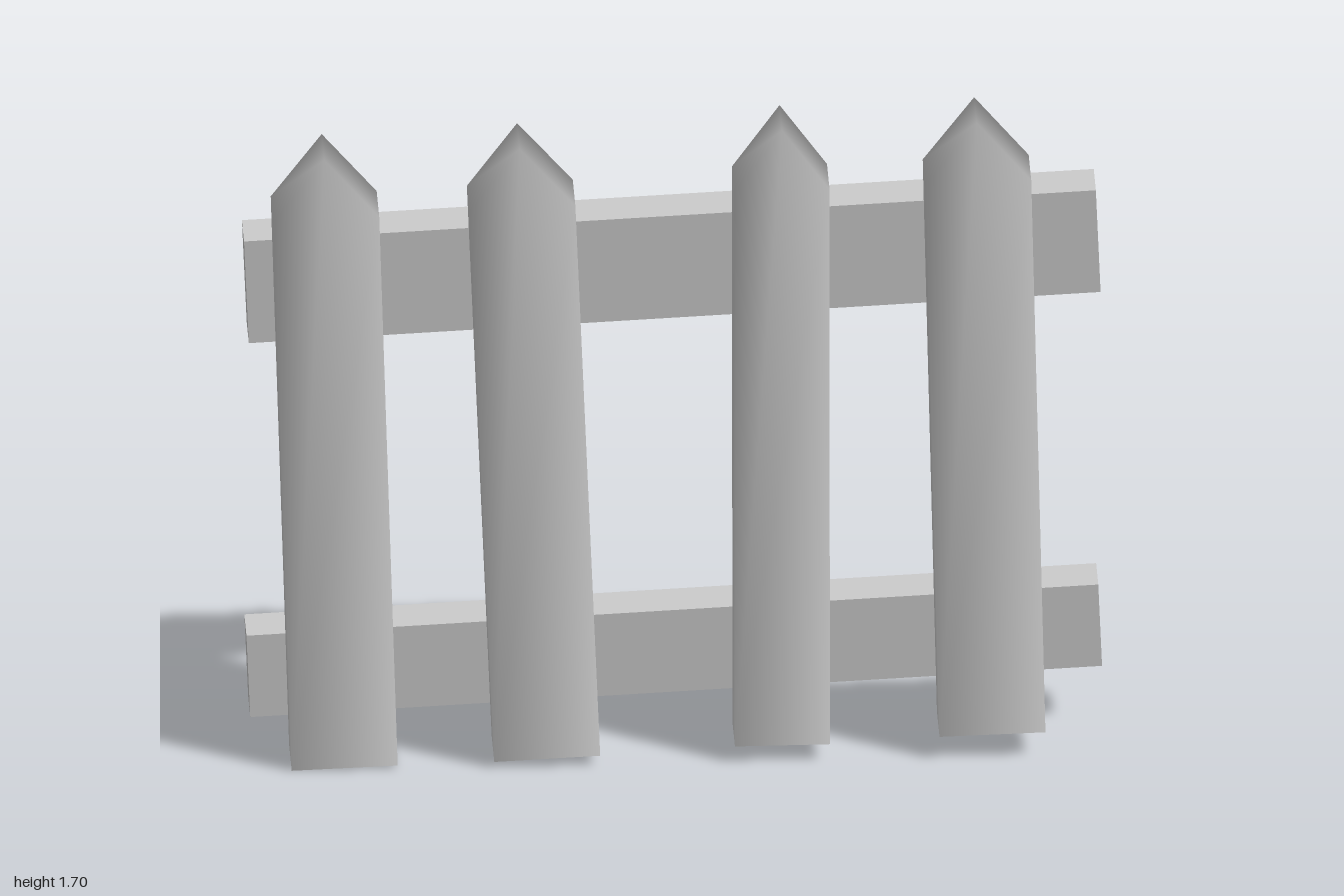
import * as THREE from 'three';
import { mergeVertices } from 'three/addons/utils/BufferGeometryUtils.js';

const along = new THREE.Vector3(0.985, 0.043, 0.168).normalize(); // run of the fence
const material = new THREE.MeshStandardMaterial({ color: 0xcccccc });

// Pointed board, origin at its lower front left corner, with softly shaded edges
function picketGeometry(width, height, point, depth) {
  const shape = new THREE.Shape([
    new THREE.Vector2(0, 0),
    new THREE.Vector2(width, 0),
    new THREE.Vector2(width, height),
    new THREE.Vector2(width / 2, height + point),
    new THREE.Vector2(0, height),
  ]);
  let geo = new THREE.ExtrudeGeometry(shape, { depth, bevelEnabled: false });
  geo.translate(0, 0, -depth);
  geo.deleteAttribute('normal');
  geo.deleteAttribute('uv');
  geo = mergeVertices(geo, 1e-4);
  geo.computeVertexNormals();
  return geo;
}

// Places a mesh by its origin and the directions of its own axes
function place(mesh, origin, x, y, z) {
  mesh.quaternion.setFromRotationMatrix(new THREE.Matrix4().makeBasis(x, y, z));
  mesh.position.copy(origin);
  return mesh;
}

function makePicket(bottom, shoulder, width) {
  const start = new THREE.Vector3(...bottom);
  const up = new THREE.Vector3(...shoulder).sub(start);
  const height = up.length();
  up.normalize();
  const front = along.clone().cross(up).normalize();
  const right = up.clone().cross(front);
  const mesh = new THREE.Mesh(picketGeometry(width, height, 0.16, 0.125), material);
  return place(mesh, start, right, up, front);
}

function makeRail(centre, height) {
  const front = along.clone().cross(new THREE.Vector3(-0.035, 0.998, 0.047)).normalize();
  const up = front.clone().cross(along);
  const mesh = new THREE.Mesh(new THREE.BoxGeometry(1.995, height, 0.1), material);
  return place(mesh, new THREE.Vector3(...centre), along, up, front);
}

export function createModel() {
  const fence = new THREE.Group();
  fence.name = 'fence';

  // Pickets: lower and upper front corner, width
  [
    [[-0.91, 0.008, -0.05], [-0.965, 1.478, 0.0], 0.248],
    [[-0.445, 0.025, 0.04], [-0.515, 1.5, 0.088], 0.248],
    [[0.11, 0.052, 0.135], [0.1, 1.53, 0.178], 0.222],
    [[0.58, 0.07, 0.224], [0.537, 1.543, 0.265], 0.248],
  ].forEach(([bottom, shoulder, width], i) => {
    const picket = makePicket(bottom, shoulder, width);
    picket.name = `picket${i + 1}`;
    fence.add(picket);
  });

  // Rails behind the pickets
  const upperRail = makeRail([-0.005, 1.267, -0.035], 0.275);
  upperRail.name = 'upperRail';
  const lowerRail = makeRail([0.01, 0.234, -0.082], 0.22);
  lowerRail.name = 'lowerRail';
  fence.add(upperRail, lowerRail);

  return fence;
}
